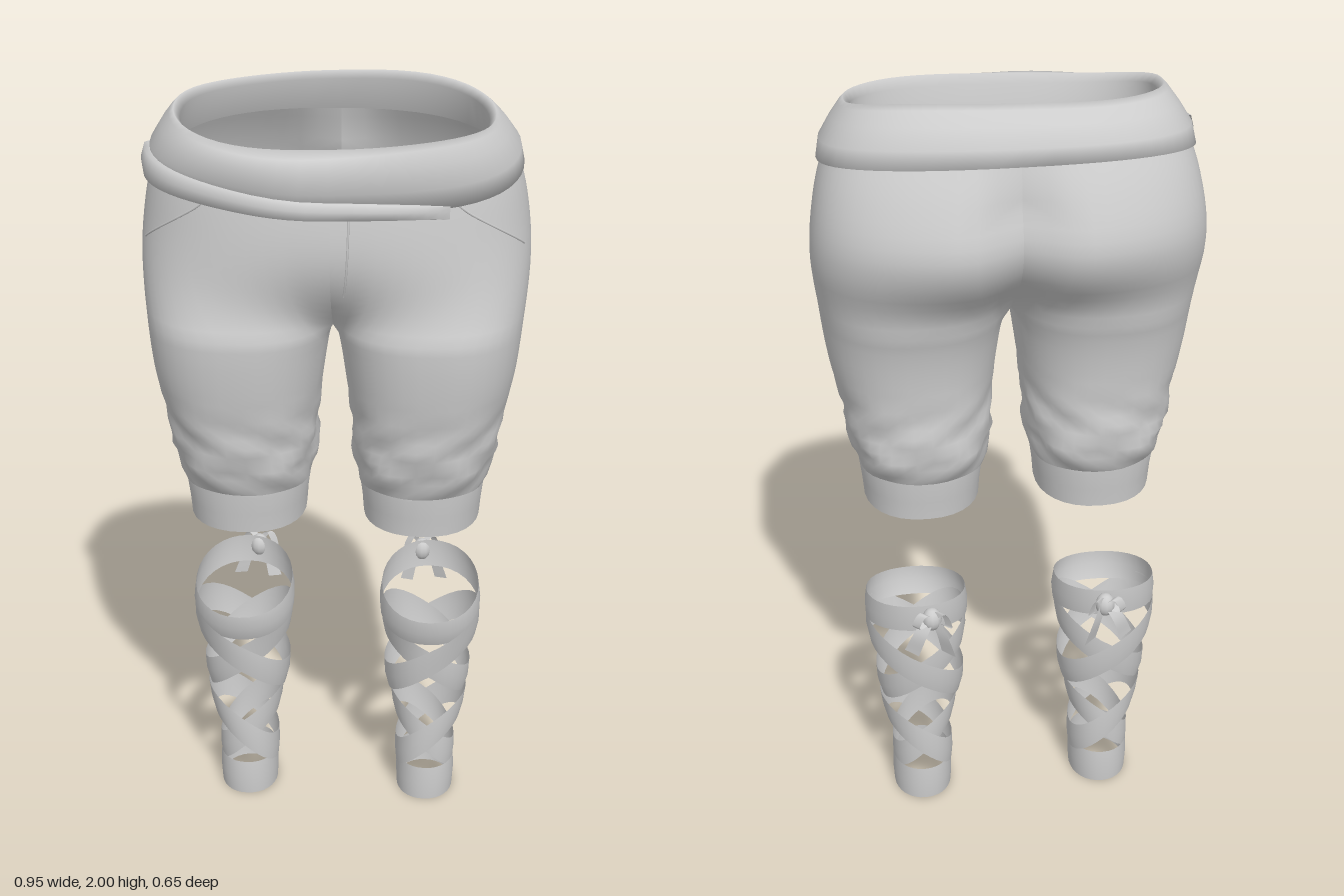
import * as THREE from 'three';
import { toCreasedNormals } from 'three/addons/utils/BufferGeometryUtils.js';

const { sin, cos, exp, PI } = Math;
const spow = (v, p) => Math.sign(v) * Math.abs(v) ** p;
const lerp = THREE.MathUtils.lerp;

// Smooth lookup through rows of [key, ...values]
function profile(rows) {
  const curve = new THREE.CubicInterpolant(rows.map(r => r[0]), rows.flatMap(r => r.slice(1)), rows[0].length - 1);
  return key => [...curve.evaluate(key)];
}

// Surface from point(i, j): i runs around, j runs upward; side -1 mirrors in x
function grid(point, nu, nv, { side = 1, closed = false, skip = () => false } = {}) {
  const pos = [], index = [], cols = closed ? nu : nu + 1;
  for (let j = 0; j <= nv; j++) for (let i = 0; i < cols; i++) {
    const [x, y, z] = point(i, j);
    pos.push(x * side, y, z);
  }
  for (let j = 0; j < nv; j++) for (let i = 0; i < nu; i++) {
    if (skip(i, j)) continue;
    const i2 = (i + 1) % cols;
    const a = j * cols + i, b = j * cols + i2, c = a + cols, d = b + cols;
    if (side > 0) index.push(a, b, d, a, d, c);
    else index.push(a, d, b, a, c, d);
  }
  const g = new THREE.BufferGeometry();
  g.setAttribute('position', new THREE.Float32BufferAttribute(pos, 3));
  g.setIndex(index);
  g.computeVertexNormals();
  return g;
}

// Rounded section: angle 0 is front, PI/2 outer, PI back
function oval(a, cx, w, front, back, p = 0.85) {
  return [cx + w * spow(sin(a), p), (front + back) / 2 + (front - back) / 2 * spow(cos(a), p)];
}

// Shorts: y, inner x, outer x, front z, back z
const CROTCH = 1.45;
const shortsAt = profile([
  [1.02, 0.06, 0.38, 0.195, -0.165], [1.06, 0.05, 0.395, 0.215, -0.187], [1.2, 0.04, 0.42, 0.24, -0.19],
  [1.32, 0.025, 0.445, 0.258, -0.197], [1.4, 0.012, 0.455, 0.265, -0.21], [1.45, 0, 0.46, 0.266, -0.225],
  [1.52, 0, 0.468, 0.267, -0.265], [1.6, 0, 0.473, 0.265, -0.318], [1.68, 0, 0.468, 0.257, -0.338],
  [1.8, 0, 0.445, 0.238, -0.298], [1.92, 0, 0.4, 0.21, -0.228],
]);

// u 0..1 runs front to back around the outside, 1..2 back along the inner thigh
function shortsPoint(u, y, out = 0) {
  const [inner, outer, front, back] = shortsAt(y);
  const b = (u <= 1 ? -70 + 320 * u : 250 + 40 * (u - 1)) * PI / 180;
  const creases = Math.max(0, 1 - Math.abs(y - 1.12) / 0.16);
  const fold = 0.007 * creases * sin(b * 6 + sin(y * 45) * 2) + out;
  const leg = oval(b, (inner + outer) / 2, (outer - inner) / 2 + fold, front + fold, back - fold);
  if (y < CROTCH - 0.001) return [leg[0], y, leg[1]];
  const hip = oval(PI * u, 0, outer + out, front + out, back - out);
  if (u > 0.5) hip[1] += 0.058 * exp(-((hip[0] / 0.08) ** 2)) * Math.min(1, Math.max(0, (1.92 - y) / 0.15));
  const t = THREE.MathUtils.clamp((1.76 - y) / (1.76 - CROTCH), 0, 1) ** 3;
  const x = u <= 0 || u >= 1 ? 0 : Math.max(0, lerp(hip[0], leg[0], t));
  return [x, y, lerp(hip[1], leg[1], t)];
}

// Lower leg wraps: y, half width, front z, back z
const calfAt = profile([
  [0, 0.078, 0.03, -0.16], [0.1, 0.078, 0.028, -0.16], [0.2, 0.083, 0.026, -0.16], [0.28, 0.095, 0.03, -0.165],
  [0.38, 0.113, 0.045, -0.185], [0.5, 0.123, 0.06, -0.2], [0.58, 0.13, 0.085, -0.208], [0.7, 0.122, 0.08, -0.215],
]);
function calfPoint(a, y, out = 0) {
  const [w, front, back] = calfAt(y);
  const [x, z] = oval(a, 0.2475 + 0.005 * y, w + out, front + out, back - out, 0.95);
  return [x, y, z];
}

export function createModel() {
  const cloth = new THREE.MeshStandardMaterial({ color: 0xcccccc, side: THREE.DoubleSide });
  cloth.name = 'light grey cloth';
  const model = new THREE.Group();
  model.name = 'shortsAndLegWraps';
  const add = (parent, name, geometry) => {
    const mesh = new THREE.Mesh(geometry, cloth);
    mesh.name = name;
    parent.add(mesh);
    return mesh;
  };

  for (const side of [1, -1]) {
    const label = side > 0 ? 'left' : 'right';
    const shorts = new THREE.Group();
    shorts.name = label + 'ShortsHalf';
    model.add(shorts);

    // Leg and hip; the inner thigh stops at the crotch and the top rises to the back
    const OUT = 34, IN = 8, LOW = 18, HIGH = 16;
    const rowY = (u, j) => j <= LOW ? lerp(1.02, CROTCH, j / LOW)
      : lerp(CROTCH, 1.875 - 0.042 * cos(PI * Math.min(u, 1)), (j - LOW) / HIGH);
    add(shorts, label + 'Leg', grid((i, j) => {
      const u = i <= OUT ? i / OUT : 1 + (i - OUT) / IN;
      const p = shortsPoint(u, rowY(u, j));
      if (j === LOW && u >= 1) p[0] = 0;
      return p;
    }, OUT + IN, LOW + HIGH, { side, closed: true, skip: (i, j) => j >= LOW && i >= OUT }));

    // Knee cuff with a folded lip: y, inset
    const cuff = [[1.04, -0.008], [1.0, 0.012], [0.918, 0.018], [0.91, 0.004], [0.96, 0], [1.015, -0.007], [1.032, -0.007], [1.045, 0.01]];
    add(shorts, label + 'Cuff', toCreasedNormals(grid((i, j) => {
      const [y, inset] = cuff[j];
      const a = i / 30 * 2 * PI;
      const [x, z] = oval(a, 0.222, 0.152 - inset, 0.186 - inset, -0.157 + inset, 0.9);
      return [x, y + (j > 4 ? 0.006 * sin(a * 5) : 0), z];
    }, 30, cuff.length - 1, { side, closed: true }), 0.9));

    // Curved pocket edge
    const pocket = Array.from({ length: 9 }, (_, k) => {
      const t = k / 8;
      const [x, y, z] = shortsPoint(lerp(0.2, 0.4, t), 1.78 - 0.13 * t ** 0.8);
      return new THREE.Vector3(x * side, y, z);
    });
    add(shorts, label + 'PocketSeam', new THREE.TubeGeometry(new THREE.CatmullRomCurve3(pocket), 20, 0.003, 5));

    // Wraps on the lower leg
    const wraps = new THREE.Group();
    wraps.name = label + 'LegWrap';
    model.add(wraps);
    const band = (name, middle, half, out) => add(wraps, name, grid((i, j) => {
      const a = i / 32 * 2 * PI;
      const y = middle(a) + half * (j - 1);
      return calfPoint(a, y, out + (j === 1 ? 0.003 : 0));
    }, 32, 2, { side, closed: true }));
    band('ankleBand', () => 0.051, 0.051, 0);
    for (const [y, tilt] of [[0.2, 0.08], [0.455, 0.09]]) {
      band('crossBandOuter', a => y + tilt * sin(a), 0.043, 0.004);
      band('crossBandInner', a => y - tilt * sin(a), 0.043, -0.002);
    }
    band('topBand', a => 0.608 - 0.042 * cos(a), 0.039, 0.003);

    // Knot with two hanging ends and two small loops behind the calf
    const knot = add(wraps, 'knot', new THREE.SphereGeometry(0.028, 12, 8));
    knot.position.set(0.225 * side, 0.655, -0.228);
    knot.scale.set(0.9, 1.15, 0.9);
    const strips = [
      [[0.222, 0.67, -0.235], [0.2, 0.61, -0.248], [0.185, 0.55, -0.242]],
      [[0.228, 0.67, -0.235], [0.258, 0.62, -0.248], [0.28, 0.56, -0.238]],
      [[0.225, 0.665, -0.235], [0.2, 0.685, -0.25], [0.185, 0.64, -0.248], [0.22, 0.655, -0.235]],
      [[0.225, 0.665, -0.235], [0.25, 0.685, -0.25], [0.268, 0.645, -0.248], [0.23, 0.655, -0.235]],
    ];
    strips.forEach((pts, n) => {
      const curve = new THREE.CatmullRomCurve3(pts.map(p => new THREE.Vector3(...p)));
      add(wraps, n < 2 ? 'knotEnd' : 'knotLoop', grid((i, j) => {
        const p = curve.getPoint(j / 10);
        const w = (i - 0.5) * (n < 2 ? 0.03 + 0.012 * j / 10 : 0.022);
        return [p.x + w * 0.8, p.y + w * 0.2, p.z + w * 0.55];
      }, 1, 10, { side }));
    });
  }

  // Rolled waistband: height fraction, half width, front z, back z
  const roll = [
    [0.06, 0.42, 0.235, -0.24], [0, 0.446, 0.262, -0.262], [0.35, 0.437, 0.285, -0.257], [0.7, 0.408, 0.285, -0.228],
    [0.92, 0.386, 0.272, -0.19], [1, 0.375, 0.262, -0.172], [0.85, 0.36, 0.242, -0.156], [0.15, 0.385, 0.228, -0.19],
  ];
  const bulge = (x, z) => z > 0 ? 0.036 * exp(-(((x + 0.09) / 0.17) ** 2)) : 0;
  add(model, 'waistband', grid((i, j) => {
    const [v, w, front, back] = roll[j];
    const a = i / 56 * 2 * PI;
    const [x, z] = oval(a, 0, w, front, back);
    const low = 1.83 - 0.05 * cos(a) - 0.012 * sin(a * 2) * (cos(a) > 0 ? 1 : 0);
    const high = 1.957 - 0.038 * cos(a) + 0.006 * sin(a * 3);
    return [x, lerp(low, high, v), z + (j > 0 && j < 5 ? bulge(x, z) : 0)];
  }, 56, roll.length - 1, { closed: true }));

  // Overlapping fold across the front of the waistband
  const fold = [[0, 0], [0.05, 0.012], [0.55, 0.016], [0.95, 0.008], [1, -0.008]];
  add(model, 'waistFold', grid((i, j) => {
    const t = i / 28, a = lerp(-1.5, 0.6, t), [v, out] = fold[j];
    const taper = out * Math.min(1, 5 * (1 - t));
    const [x, z] = oval(a, 0, 0.443 + taper, 0.274 + taper, -0.26);
    return [x, lerp(lerp(1.8, 1.755, t), lerp(1.872, 1.785, t), v), z + bulge(x, z)];
  }, 28, fold.length - 1));

  // Front fly seam
  const fly = [1.78, 1.72, 1.66, 1.6, 1.56].map((y, k) => {
    const [x, , z] = shortsPoint(0.02, y);
    return new THREE.Vector3(x - 0.002 * k, y, z);
  });
  add(model, 'flySeam', new THREE.TubeGeometry(new THREE.CatmullRomCurve3(fly), 14, 0.003, 5));

  return model;
}
